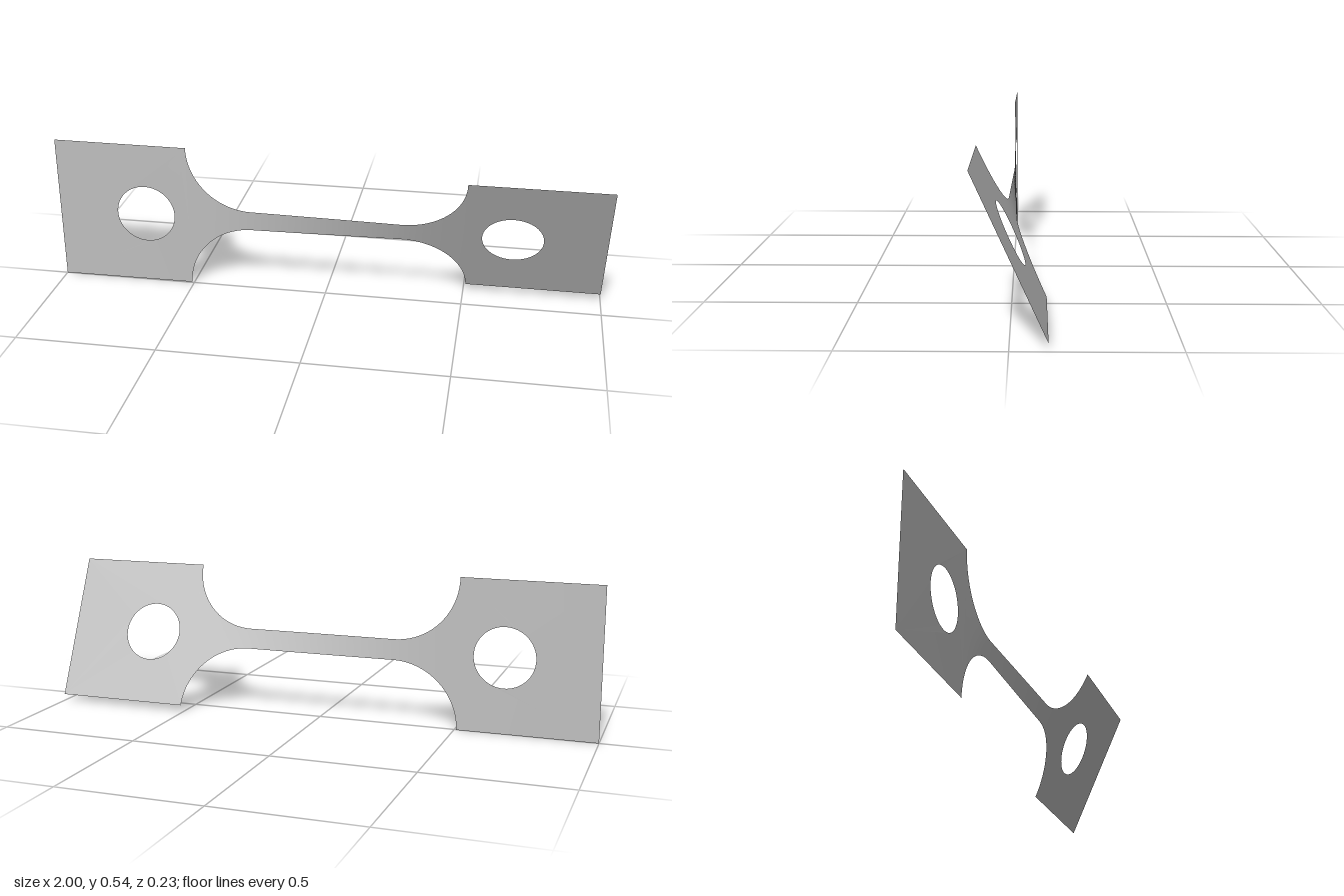
import * as THREE from 'three';

const AXIS = 0.271;      // height of the twist axis
const HALF = 0.271;      // half height of the end plates
const NECK = 0.037;      // half height of the neck
const R = HALF - NECK;   // fillet radius
const EDGE = 0.508;      // inner edge of the end plates
const FLAT = EDGE - R;   // end of the straight neck
const TIP = THREE.MathUtils.degToRad(24.6);
const LEAN = THREE.MathUtils.degToRad(0.9);

// twist angle along x: steady in the neck, fading out through the fillets
function twist(x) {
  if (x >= EDGE) return TIP;
  if (x <= -EDGE) return LEAN * (x + 1) / (1 - EDGE);
  const a = Math.abs(x), w = EDGE - FLAT;
  const d = Math.max(0, a - FLAT);
  const run = (a - d * d / (2 * w)) / (FLAT + w / 2);
  return LEAN + (TIP - LEAN) * (0.5 + 0.5 * Math.sign(x) * run);
}

// turn a flat geometry about the x axis by the local twist
function twistGeometry(geo) {
  const p = geo.attributes.position;
  for (let i = 0; i < p.count; i++) {
    const x = p.getX(i), y = p.getY(i), a = twist(x);
    p.setXYZ(i, x, AXIS + y * Math.cos(a), y * Math.sin(a));
  }
  geo.computeVertexNormals();
  return geo;
}

// square end plate with a round hole
function plateGeometry(side) {
  const shape = new THREE.Shape();
  shape.moveTo(side * EDGE, -HALF);
  shape.lineTo(side, -HALF);
  shape.lineTo(side, HALF);
  shape.lineTo(side * EDGE, HALF);
  shape.closePath();
  const hole = new THREE.Path();
  hole.absarc(side * 0.67, 0, 0.108, 0, Math.PI * 2, true);
  shape.holes.push(hole);
  return twistGeometry(new THREE.ShapeGeometry(shape, 32));
}

// narrow neck with quarter-circle fillets, as a grid of columns
function neckGeometry() {
  const columns = [];
  const arc = 20, straight = 32, rows = 10;
  for (let i = 0; i <= arc; i++) {
    const t = (i / arc) * Math.PI / 2;
    columns.push([-FLAT - R * Math.cos(t), HALF - R * Math.sin(t)]);
  }
  for (let i = 1; i < straight; i++) columns.push([-FLAT + 2 * FLAT * i / straight, NECK]);
  for (let i = arc; i >= 0; i--) {
    const t = (i / arc) * Math.PI / 2;
    columns.push([FLAT + R * Math.cos(t), HALF - R * Math.sin(t)]);
  }
  const geo = new THREE.PlaneGeometry(1, 2, columns.length - 1, rows);
  const p = geo.attributes.position;
  for (let i = 0; i < p.count; i++) {
    const [x, h] = columns[i % columns.length];
    p.setXY(i, x, p.getY(i) * h);
  }
  return twistGeometry(geo);
}

export function createModel() {
  const group = new THREE.Group();
  group.name = 'twistedTestStrip';
  const metal = new THREE.MeshStandardMaterial({ color: 0xbfbfbf, side: THREE.DoubleSide });
  metal.name = 'grey metal';
  const add = (name, geo) => {
    const mesh = new THREE.Mesh(geo, metal);
    mesh.name = name;
    group.add(mesh);
  };
  add('leftPlate', plateGeometry(1));
  add('rightPlate', plateGeometry(-1));
  add('neck', neckGeometry());
  return group;
}
